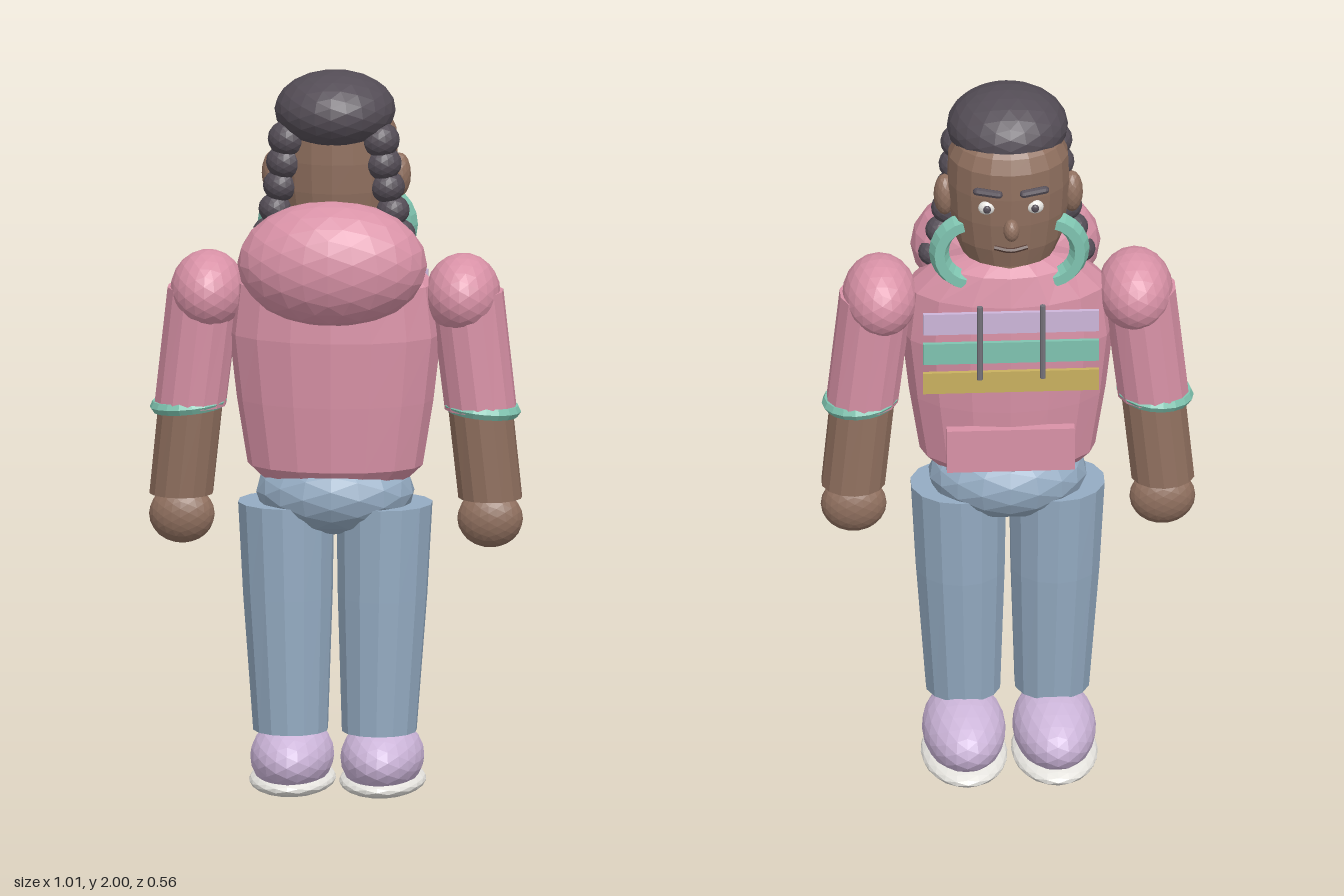
import * as THREE from 'three';

const paint = (name, color) => {
  const m = new THREE.MeshStandardMaterial({ color, flatShading: true });
  m.name = name;
  return m;
};

export function createModel() {
  const model = new THREE.Group();
  model.name = 'figure';
  const skin = paint('skin', 0x90705f), pink = paint('pink', 0xd992a7);
  const denim = paint('denim', 0x94abc2), lavender = paint('lavender', 0xcdb6da);
  const teal = paint('teal', 0x7fc4b0), dark = paint('hair', 0x544d56);
  const yellow = paint('yellow', 0xc9b05f), white = paint('white', 0xe6e4df);
  const grey = paint('grey', 0x74727a), brown = paint('mouthBrown', 0x5a4038);

  function add(name, geo, mat, x = 0, y = 0, z = 0) {
    const mesh = new THREE.Mesh(geo, mat);
    mesh.name = name;
    mesh.position.set(x, y, z);
    model.add(mesh);
    return mesh;
  }
  // Faceted ellipsoid
  function blob(name, mat, [x, y, z], [rx, ry, rz], detail = 3) {
    const geo = new THREE.IcosahedronGeometry(1, detail);
    geo.scale(rx, ry, rz);
    return add(name, geo, mat, x, y, z);
  }
  // Tube through elliptical rings [x, y, z, rx, rz], listed from bottom to top
  function loft(name, mat, rings, sides = 14) {
    const n = rings.length - 1;
    const geo = new THREE.CylinderGeometry(1, 1, 1, sides, n);
    const p = geo.attributes.position;
    for (let i = 0; i < p.count; i++) {
      const [x, y, z, rx, rz] = rings[Math.round((p.getY(i) + 0.5) * n)];
      p.setXYZ(i, x + p.getX(i) * rx, y, z + p.getZ(i) * rz);
    }
    geo.computeVertexNormals();
    return add(name, geo, mat);
  }
  const box = (name, mat, w, h, d, x, y, z) => add(name, new THREE.BoxGeometry(w, h, d), mat, x, y, z);

  // Torso, hood and hips
  loft('torso', pink, [
    [0, 0.885, 0.01, 0.2, 0.12], [0, 0.92, 0.01, 0.237, 0.145], [0, 1.1, 0.01, 0.266, 0.16],
    [0, 1.28, 0.01, 0.287, 0.17], [0, 1.42, 0.01, 0.27, 0.163], [0, 1.5, 0, 0.19, 0.135],
    [0, 1.535, 0, 0.1, 0.09]], 16);
  blob('hood', pink, [0, 1.488, 0.112], [0.257, 0.173, 0.166]);
  blob('hips', denim, [0, 0.845, 0.005], [0.216, 0.118, 0.162], 2);

  // Chest stripes, posts and pocket
  [[lavender, 1.39, -0.174], [teal, 1.298, -0.17], [yellow, 1.207, -0.166]].forEach(([mat, y, z]) =>
    box('chestStripe', mat, 0.475, 0.062, 0.012, 0, y, z));
  for (const x of [-0.085, 0.085])
    add('chestPost', new THREE.CylinderGeometry(0.008, 0.008, 0.22, 8), grey, x, 1.332, -0.181);
  box('pocket', pink, 0.345, 0.125, 0.03, 0, 0.993, -0.149);

  // Head, hair and face
  loft('neck', skin, [[0, 1.48, -0.02, 0.09, 0.09], [0, 1.58, -0.02, 0.09, 0.09]], 12);
  loft('head', skin, [
    [0, 1.545, -0.03, 0.125, 0.118], [0, 1.6, -0.03, 0.148, 0.134], [0, 1.68, -0.03, 0.161, 0.145],
    [0, 1.76, -0.03, 0.166, 0.149], [0, 1.835, -0.03, 0.163, 0.147], [0, 1.875, -0.03, 0.145, 0.13],
    [0, 1.92, -0.03, 0.1, 0.09]], 18);
  blob('hair', dark, [0, 1.895, 0.013], [0.164, 0.105, 0.163]);
  blob('nose', skin, [0, 1.675, -0.185], [0.022, 0.032, 0.026], 2);
  const smile = new THREE.CatmullRomCurve3([
    new THREE.Vector3(-0.045, 1.612, -0.161), new THREE.Vector3(0, 1.605, -0.168),
    new THREE.Vector3(0.045, 1.612, -0.161)]);
  add('mouth', new THREE.TubeGeometry(smile, 8, 0.007, 6), brown);

  for (const s of [-1, 1]) {
    // Facial features of one side
    blob('ear', skin, [s * 0.172, 1.71, -0.03], [0.03, 0.06, 0.036], 2);
    blob('eye', white, [s * 0.065, 1.735, -0.163], [0.024, 0.02, 0.014], 2);
    blob('pupil', dark, [s * 0.065, 1.735, -0.175], [0.011, 0.012, 0.007], 1);
    const brow = add('brow', new THREE.CapsuleGeometry(0.011, 0.06, 3, 8), dark, s * 0.063, 1.785, -0.174);
    brow.rotation.set(0, s * -0.22, Math.PI / 2 + s * 0.08, 'YXZ');

    // Braid of shrinking beads
    for (let i = 0; i < 6; i++) {
      const t = i / 5, r = 0.054 - 0.014 * t;
      blob('braidBead', dark,
        [s * (0.125 + 0.03 * t + 0.045 * t * t), 1.822 - 0.325 * t, 0.06 - 0.018 * t], [r, r * 0.92, r], 2);
    }

    // Curved collar piece beside the chin
    const arc = Math.PI * 0.86;
    const collar = new THREE.TorusGeometry(0.09, 0.027, 6, 10, arc);
    collar.rotateZ(s > 0 ? -arc / 2 : Math.PI - arc / 2);
    collar.scale(1, 1, 1.4);
    add('collar', collar, teal, s * 0.1, 1.563, -0.08);

    // Arm
    blob('shoulder', pink, [s * 0.345, 1.39, 0.002], [0.102, 0.11, 0.137]);
    loft('sleeve', pink, [[s * 0.393, 1.075, 0, 0.098, 0.1], [s * 0.355, 1.4, 0, 0.1, 0.11]]);
    const cuff = add('cuff', new THREE.TorusGeometry(0.087, 0.018, 6, 18), teal, s * 0.398, 1.078, 0);
    cuff.rotation.set(Math.PI / 2, s * -0.1, 0);
    loft('forearm', skin, [[s * 0.418, 0.83, -0.01, 0.087, 0.088], [s * 0.391, 1.09, 0, 0.088, 0.086]]);
    blob('hand', skin, [s * 0.417, 0.77, -0.018], [0.089, 0.08, 0.06]);

    // Leg and shoe
    loft('leg', denim, [
      [s * 0.12, 0.19, 0.018, 0.102, 0.107], [s * 0.128, 0.56, 0.008, 0.122, 0.126],
      [s * 0.133, 0.815, 0.005, 0.131, 0.133]]);
    blob('shoe', lavender, [s * 0.122, 0.103, -0.063], [0.113, 0.099, 0.202]);
    blob('sole', white, [s * 0.122, 0.037, -0.076], [0.117, 0.037, 0.205]);
  }
  return model;
}
